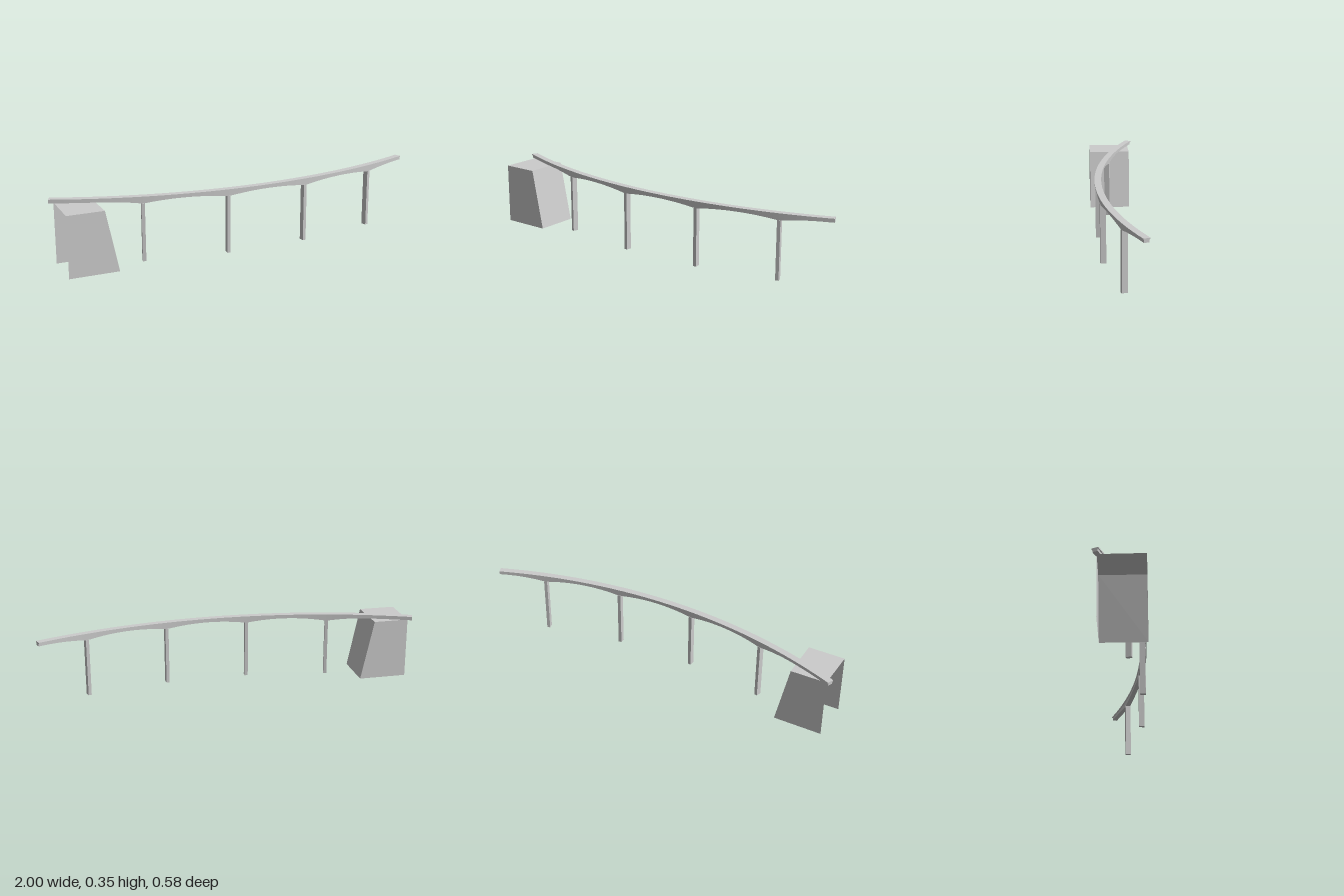
import * as THREE from 'three';

// Plan of the bridge: a circular arc, angles measured from +z
const CX = 0.65, CZ = -2.388, R = 2.66;
const START = -0.651, END = 0.1312;
const FIRST_PIER = 0.0293, SPACING = 0.168, PIERS = 4;
const PIER_TOP = 0.31, SOFFIT = 0.327;

const material = new THREE.MeshStandardMaterial({ color: 0xcccccc, flatShading: true, side: THREE.DoubleSide });

const onArc = (a, r, y) => [CX + r * Math.sin(a), y, CZ + r * Math.cos(a)];
const pierAngle = (i) => FIRST_PIER - SPACING * i;

function addMesh(parent, name, geometry) {
  const mesh = new THREE.Mesh(geometry, material);
  mesh.name = name;
  parent.add(mesh);
  return mesh;
}

// Geometry from quads, each given as four corners counter-clockwise
function quadGeometry(quads) {
  const pos = [];
  for (const [a, b, c, d] of quads) pos.push(...a, ...b, ...c, ...a, ...c, ...d);
  const geo = new THREE.BufferGeometry();
  geo.setAttribute('position', new THREE.Float32BufferAttribute(pos, 3));
  geo.computeVertexNormals();
  return geo;
}

// Stations along the arc, lined up with the piers
function stations() {
  const step = SPACING / 16, list = [START];
  for (let k = -80; k < 20; k++) {
    const a = FIRST_PIER + k * step;
    if (a > START + 0.002 && a < END - 0.002) list.push(a);
  }
  list.push(END);
  return list;
}

// Rectangular section swept along the arc, with a bottom that may vary
function sweep(halfWidth, bottomAt, top) {
  const rings = stations().map((a) => {
    const b = bottomAt(a);
    return [
      onArc(a, R + halfWidth, b), onArc(a, R + halfWidth, top),
      onArc(a, R - halfWidth, top), onArc(a, R - halfWidth, b),
    ];
  });
  const quads = [];
  for (let i = 0; i < rings.length - 1; i++) {
    const p = rings[i], q = rings[i + 1];
    for (let j = 0; j < 4; j++) {
      const k = (j + 1) % 4;
      quads.push([p[j], q[j], q[k], p[k]]);
    }
  }
  const s = rings[0], e = rings[rings.length - 1];
  quads.push(s, [e[3], e[2], e[1], e[0]]);
  return quadGeometry(quads);
}

// Girder underside: lowest at the piers, arching up to mid-span
function soffitAt(a) {
  let d = 1;
  for (let i = 0; i < PIERS; i++) d = Math.min(d, Math.abs(a - pierAngle(i)) / (SPACING / 2));
  return PIER_TOP + (SOFFIT - PIER_TOP) * (1 - (1 - d) ** 2);
}

// Hollow block with a sloping face, open underneath and at its far end
function abutmentGeometry() {
  const h = 0.327;
  const top = [[-1, h, -0.035], [-0.81, h, 0.013], [-0.757, h, -0.215], [-0.942, h, -0.26]];
  const base = [[-1, 0, -0.035], [-0.746, 0, 0.03], [-0.69, 0, -0.197], [-0.942, 0, -0.26]];
  const quads = [top];
  for (let i = 0; i < 3; i++) quads.push([base[i], base[i + 1], top[i + 1], top[i]]);
  return quadGeometry(quads);
}

export function createModel() {
  const model = new THREE.Group();
  model.name = 'viaduct';

  addMesh(model, 'deckSlab', sweep(0.018, () => 0.341, 0.348));
  addMesh(model, 'hauchedGirder'.replace('hau', 'haun'), sweep(0.0135, soffitAt, 0.341));

  // Piers, turned to follow the curve
  const pierGeometry = new THREE.BoxGeometry(0.0175, PIER_TOP + 0.002, 0.03);
  for (let i = 0; i < PIERS; i++) {
    const a = pierAngle(i);
    const pier = addMesh(model, `pier${i + 1}`, pierGeometry);
    pier.position.set(...onArc(a, R, PIER_TOP / 2 + 0.001));
    pier.rotation.y = a;
  }

  addMesh(model, 'abutment', abutmentGeometry());
  return model;
}
